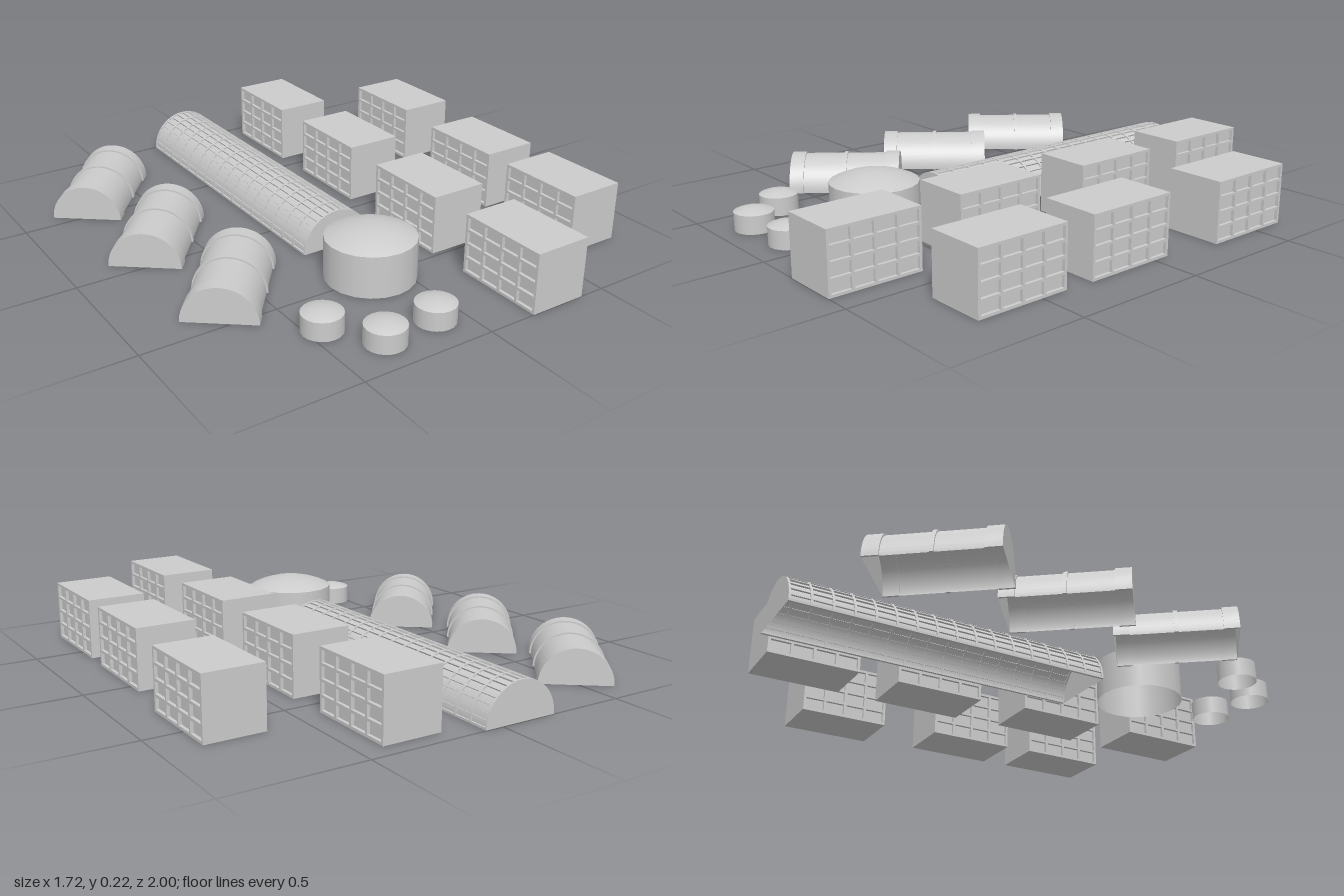
import * as THREE from 'three';
import { toCreasedNormals } from 'three/addons/utils/BufferGeometryUtils.js';

const grey = new THREE.MeshStandardMaterial({ color: 0xcccccc });
const greyOpen = new THREE.MeshStandardMaterial({ color: 0xcccccc, side: THREE.DoubleSide });

function add(parent, name, geometry, x = 0, y = 0, z = 0, material = grey) {
  const mesh = new THREE.Mesh(geometry, material);
  mesh.name = name;
  mesh.position.set(x, y, z);
  parent.add(mesh);
  return mesh;
}

function group(parent, name, x, z, angle = 0) {
  const g = new THREE.Group();
  g.name = name;
  g.position.set(x, 0, z);
  g.rotation.y = angle;
  parent.add(g);
  return g;
}

// Open half cylinder lying along z, round side up
function vault(r, length, segments = 24) {
  return new THREE.CylinderGeometry(r, r, length, segments, 1, true, Math.PI / 2, Math.PI).rotateX(Math.PI / 2);
}

// Half ring with thickness, centred along z
function arch(outer, inner, width) {
  const s = new THREE.Shape();
  s.absarc(0, 0, outer, 0, Math.PI, false);
  s.absarc(0, 0, inner, Math.PI, 0, true);
  const g = new THREE.ExtrudeGeometry(s, { depth: width, bevelEnabled: false, curveSegments: 16 });
  return toCreasedNormals(g.translate(0, 0, -width / 2), 0.5);
}

// Block with a window lattice standing out from the recessed panes on both x sides
function apartmentBlock(parent, x, z) {
  const W = 0.22, H = 0.225, D = 0.355, recess = 0.012, bar = 0.01;
  const g = group(parent, 'apartmentBlock', x, z);
  add(g, 'blockCore', new THREE.BoxGeometry(W - 2 * recess, H, D), 0, H / 2, 0);
  const rows = 4, columns = 4;
  const upright = new THREE.BoxGeometry(recess, H, bar);
  const ledge = new THREE.BoxGeometry(recess, bar, D);
  for (const side of [-1, 1]) {
    const px = side * (W - recess) / 2;
    for (let i = 0; i <= columns; i++)
      add(g, 'windowUpright', upright, px, H / 2, -D / 2 + bar / 2 + (D - bar) * i / columns);
    for (let j = 0; j <= rows; j++)
      add(g, 'windowLedge', ledge, px, bar / 2 + (H - bar) * j / rows, 0);
  }
}

// Arched hut with raised end bands and a middle rib, open below
function archedHut(parent, x, z) {
  const R = 0.133, r = 0.127, L = 0.432, endBand = 0.055;
  const g = group(parent, 'archedHut', x, z, -0.67);
  add(g, 'hutShell', vault(r, L), 0, 0, 0, greyOpen);
  add(g, 'middleRib', arch(R, r - 0.002, 0.014));
  for (const side of [-1, 1]) {
    add(g, 'endBand', arch(R, r - 0.002, endBand), 0, 0, side * (L - endBand) / 2);
    const wall = add(g, 'endWall', new THREE.CircleGeometry(R, 24, 0, Math.PI), 0, 0, side * L / 2, greyOpen);
    if (side < 0) wall.rotation.y = Math.PI;
  }
}

// Long vaulted hall with a grid of ribs over thin panes
function vaultedHall(parent, x, z) {
  const R = 0.143, r = 0.133, L = 1.232, bays = 16, strips = 16, bar = 0.008;
  const g = group(parent, 'vaultedHall', x, z);
  add(g, 'hallPanes', vault(0.137, L, 32), 0, 0, 0, greyOpen);
  const rib = arch(R, r, bar);
  for (let i = 0; i <= bays; i++)
    add(g, 'archRib', rib, 0, 0, -L / 2 + bar / 2 + (L - bar) * i / bays);
  const rail = new THREE.BoxGeometry(R - r, bar, L);
  const mid = (R + r) / 2;
  for (let i = 0; i <= strips; i++) {
    const a = Math.PI * i / strips;
    const lift = i === 0 || i === strips ? bar / 2 : 0;
    add(g, 'longRail', rail, mid * Math.cos(a), mid * Math.sin(a) + lift, 0).rotation.z = a;
  }
  for (const side of [-1, 1]) {
    const wall = add(g, 'hallEndWall', new THREE.CircleGeometry(R, 32, 0, Math.PI), 0, 0, side * L / 2, greyOpen);
    if (side < 0) wall.rotation.y = Math.PI;
  }
}

// Round tank with a shallow dome, open below
function tank(parent, name, x, z, r, wallHeight, domeHeight) {
  const g = group(parent, name, x, z);
  add(g, 'tankWall', new THREE.CylinderGeometry(r, r, wallHeight, 20, 1, true), 0, wallHeight / 2, 0, greyOpen);
  const dome = [];
  const sphere = (r * r + domeHeight * domeHeight) / (2 * domeHeight);
  const span = Math.asin(r / sphere);
  for (let i = 0; i <= 6; i++) {
    const a = span * (1 - i / 6);
    dome.push(new THREE.Vector2(sphere * Math.sin(a), sphere * Math.cos(a) - sphere + domeHeight));
  }
  add(g, 'tankDome', new THREE.LatheGeometry(dome, 20), 0, wallHeight, 0, greyOpen);
}

export function createModel() {
  const model = new THREE.Group();
  model.name = 'settlement';

  const blocks = [
    [0.302, -0.756], [0.307, -0.242], [0.289, 0.304], [0.294, 0.822],
    [0.75, -0.459], [0.715, 0.112], [0.709, 0.575],
  ];
  for (const [x, z] of blocks) apartmentBlock(model, x, z);

  for (const [x, z] of [[-0.626, -0.654], [-0.607, -0.172], [-0.569, 0.306]]) archedHut(model, x, z);

  vaultedHall(model, -0.076, -0.382);

  tank(model, 'largeTank', -0.105, 0.483, 0.166, 0.157, 0.04);
  for (const [x, z] of [[-0.446, 0.69], [-0.321, 0.86], [-0.105, 0.843]])
    tank(model, 'smallTank', x, z, 0.073, 0.069, 0.016);

  return model;
}
